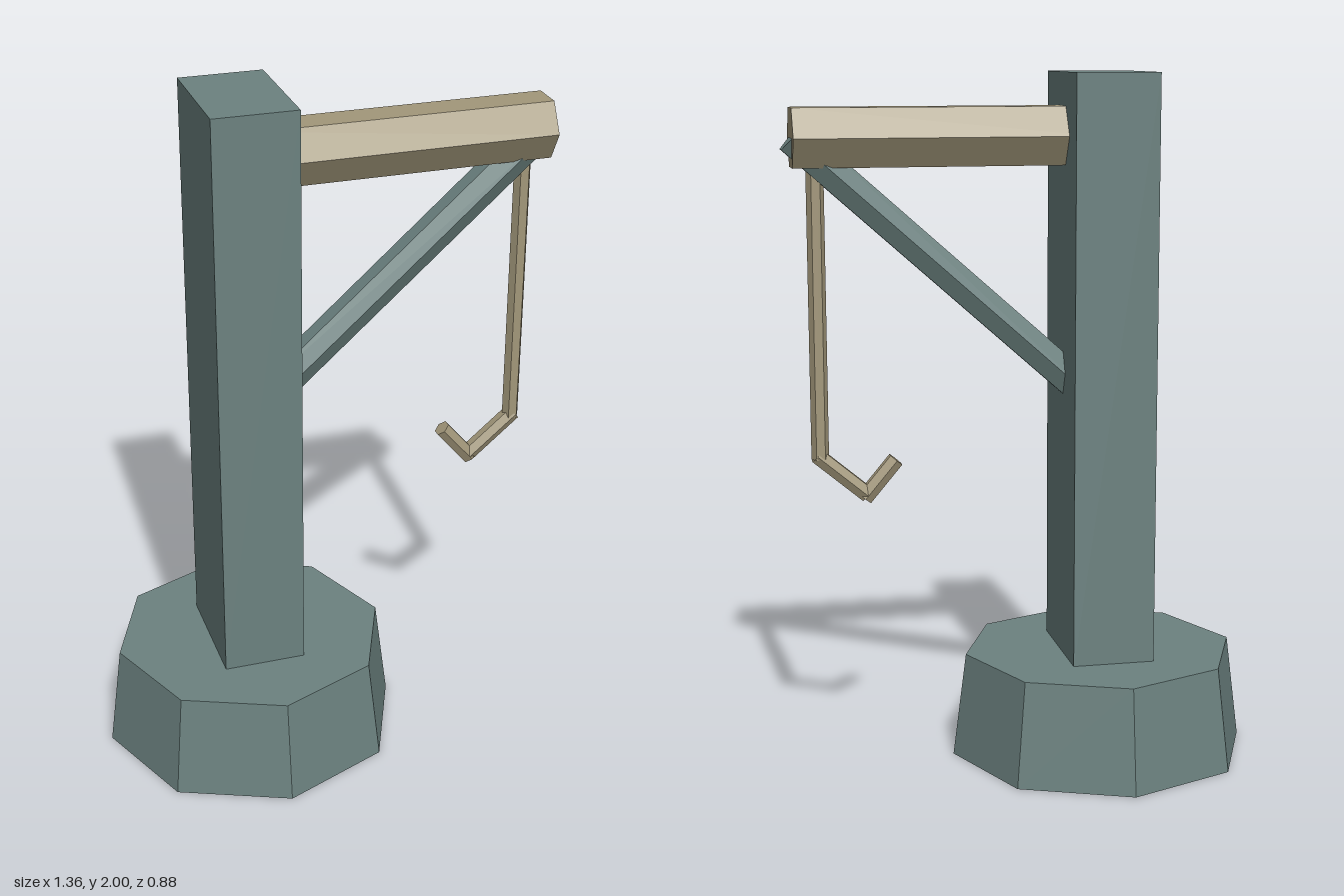
import * as THREE from 'three';

export function createModel() {
  const model = new THREE.Group();
  const slate = new THREE.MeshStandardMaterial({ color: 0x6c8280, flatShading: true });
  slate.name = 'slate';
  const tan = new THREE.MeshStandardMaterial({ color: 0xa2977a, flatShading: true });
  tan.name = 'tan';

  const add = (name, geometry, material, x, y) => {
    const mesh = new THREE.Mesh(geometry, material);
    mesh.name = name;
    mesh.position.set(x, y, 0);
    model.add(mesh);
    return mesh;
  };

  // Six-sided rod between two points in the z = 0 plane, corners facing +z and -z
  const rod = (name, [x1, y1], [x2, y2], radius, material, twist = 0) => {
    const length = Math.hypot(x2 - x1, y2 - y1);
    const geometry = new THREE.CylinderGeometry(radius, radius, length, 6);
    geometry.rotateY(twist);
    const mesh = add(name, geometry, material, (x1 + x2) / 2, (y1 + y2) / 2);
    mesh.rotation.z = Math.atan2(y2 - y1, x2 - x1) - Math.PI / 2;
  };

  // Octagonal foot and square-cut post
  add('base', new THREE.CylinderGeometry(0.403, 0.442, 0.306, 8), slate, -0.238, 0.153);
  add('post', new THREE.BoxGeometry(0.24, 1.7, 0.354), slate, -0.24, 1.15);

  // Arm and its diagonal support
  rod('beam', [-0.2, 1.823], [0.648, 1.823], 0.095, tan);
  rod('brace', [-0.22, 1.056], [0.645, 1.825], 0.053, slate);

  // Hanging line and bent hook
  rod('rope', [0.583, 1.8], [0.583, 0.915], 0.025, tan, Math.PI / 6);
  rod('hookShank', [0.592, 0.926], [0.45, 0.806], 0.025, tan);
  rod('hookTip', [0.458, 0.796], [0.366, 0.905], 0.025, tan);

  return model;
}
